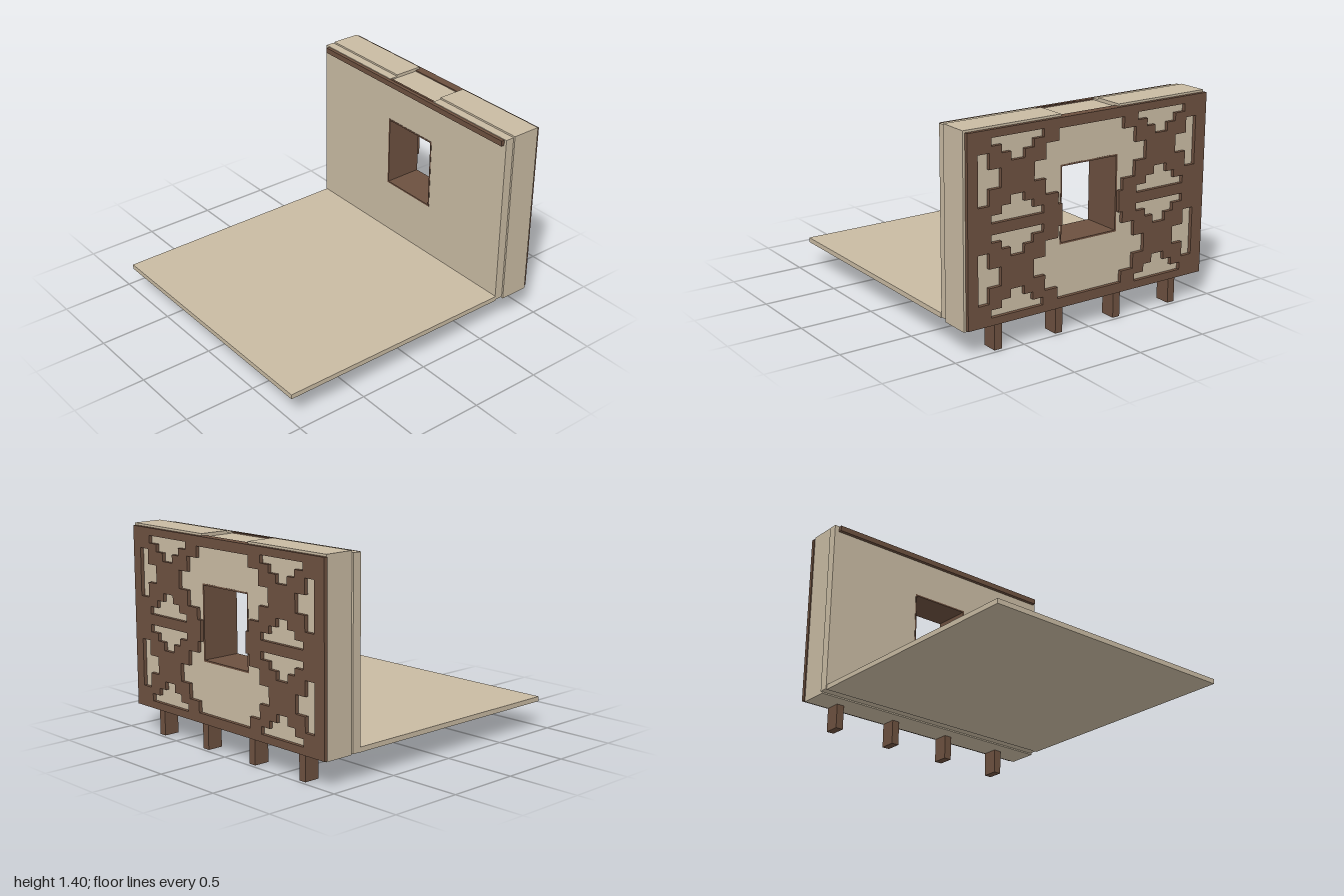
import * as THREE from 'three';

const beige = new THREE.MeshStandardMaterial({ color: 0xc8baa2 });
beige.name = 'plaster';
const brown = new THREE.MeshStandardMaterial({ color: 0x6c503f });
brown.name = 'darkWood';

// window opening
const WX = 0.22, WY0 = 0.58, WY1 = 1.085;

function box(parent, name, mat, x0, x1, y0, y1, z0, z1) {
  const mesh = new THREE.Mesh(new THREE.BoxGeometry(x1 - x0, y1 - y0, z1 - z0), mat);
  mesh.position.set((x0 + x1) / 2, (y0 + y1) / 2, (z0 + z1) / 2);
  mesh.name = name;
  parent.add(mesh);
}

const toVectors = (pts) => pts.map(([x, y]) => new THREE.Vector2(x, y));
const rect = (x0, x1, y0, y1) => [[x0, y0], [x1, y0], [x1, y1], [x0, y1]];

// flat panel with holes, spanning z0..z1
function panel(parent, name, mat, outline, holes, z0, z1) {
  const shape = new THREE.Shape(toVectors(outline));
  holes.forEach((h) => shape.holes.push(new THREE.Path(toVectors(h))));
  const geo = new THREE.ExtrudeGeometry(shape, { depth: z1 - z0, bevelEnabled: false });
  const mesh = new THREE.Mesh(geo, mat);
  mesh.position.z = z0;
  mesh.name = name;
  parent.add(mesh);
}

// wall layer with a window and a shallow notch in its top edge
function wall(parent, name, x0, x1, y0, y1, z0, z1) {
  const low = 1.378;
  const outline = [[x0, y0], [x1, y0], [x1, y1], [WX, y1], [WX, low], [-WX, low], [-WX, y1], [x0, y1]];
  panel(parent, name, beige, outline, [rect(-WX, WX, WY0, WY1)], z0, z1);
}

// stepped triangle: rows of [half width, distance from base], base at the origin, pointing along +d
function steppedTriangle(rows) {
  const right = [];
  let d = 0;
  for (const [half, end] of rows) {
    right.push([half, d], [half, end]);
    d = end;
  }
  return [...right, ...right.slice().reverse().map(([h, e]) => [-h, e])];
}

// fretwork openings, mirrored on both axes
function latticeHoles(midY) {
  const holes = [];
  const cx = 0.55, cy = 0.305;
  const flat = steppedTriangle([[0.19, 0.05], [0.115, 0.1], [0.05, 0.155]]);
  const upright = steppedTriangle([[0.16, 0.08], [0.06, 0.165]]);
  for (const sx of [-1, 1]) {
    for (const sy of [-1, 1]) {
      const place = (x, y) => [sx * x, midY + sy * y];
      holes.push(flat.map(([h, d]) => place(cx + h, cy + 0.25 - d)));
      holes.push(flat.map(([h, d]) => place(cx + h, cy - 0.27 + d)));
      holes.push(upright.map(([h, d]) => place(cx + 0.285 - d, cy + h)));
    }
  }
  // central opening around the window, from the top right quarter
  const quarter = [
    [WX, cy - 0.235], [0.25, cy - 0.235], [0.25, cy - 0.16], [0.345, cy - 0.16], [0.345, cy - 0.06], [0.43, cy - 0.06],
    [0.43, cy + 0.06], [0.345, cy + 0.06], [0.345, cy + 0.16], [0.25, cy + 0.16],
    [0.25, cy + 0.235],
  ];
  const back = quarter.slice().reverse();
  holes.push([
    ...quarter.map(([x, y]) => [x, midY + y]),
    ...back.map(([x, y]) => [-x, midY + y]),
    ...quarter.map(([x, y]) => [-x, midY - y]),
    ...back.map(([x, y]) => [x, midY - y]),
  ]);
  return holes;
}

export function createModel() {
  const model = new THREE.Group();
  model.name = 'wallSection';

  // floor slab and the two wall layers
  box(model, 'floor', beige, -0.92, 0.915, 0.172, 0.205, -0.712, 1);
  wall(model, 'frontWall', -0.925, 0.91, 0.176, 1.388, -0.772, -0.71);
  wall(model, 'backWall', -0.912, 0.922, 0.167, 1.4, -0.975, -0.772);

  // wooden strips along the top
  box(model, 'topTrim', brown, -0.892, 0.892, 1.346, 1.384, -0.71, -0.685);
  box(model, 'frontCap', brown, -WX, WX, 1.378, 1.386, -0.725, -0.71);
  box(model, 'backCap', brown, -WX, WX, 1.378, 1.386, -0.975, -0.94);

  // window lining
  const t = 0.011;
  panel(model, 'windowLining', brown, rect(-WX, WX, WY0, WY1),
    [rect(-WX + t, WX - t, WY0 + t, WY1 - t)], -0.976, -0.708);

  // carved lattice on the back
  panel(model, 'lattice', brown, rect(-0.92, 0.907, 0.176, 1.386), latticeHoles(0.781), -1, -0.975);

  // posts under the wall
  for (const x of [-0.7, -0.24, 0.218, 0.676]) {
    box(model, 'post', brown, x - 0.027, x + 0.027, 0, 0.168, -0.975, -0.867);
  }
  return model;
}
